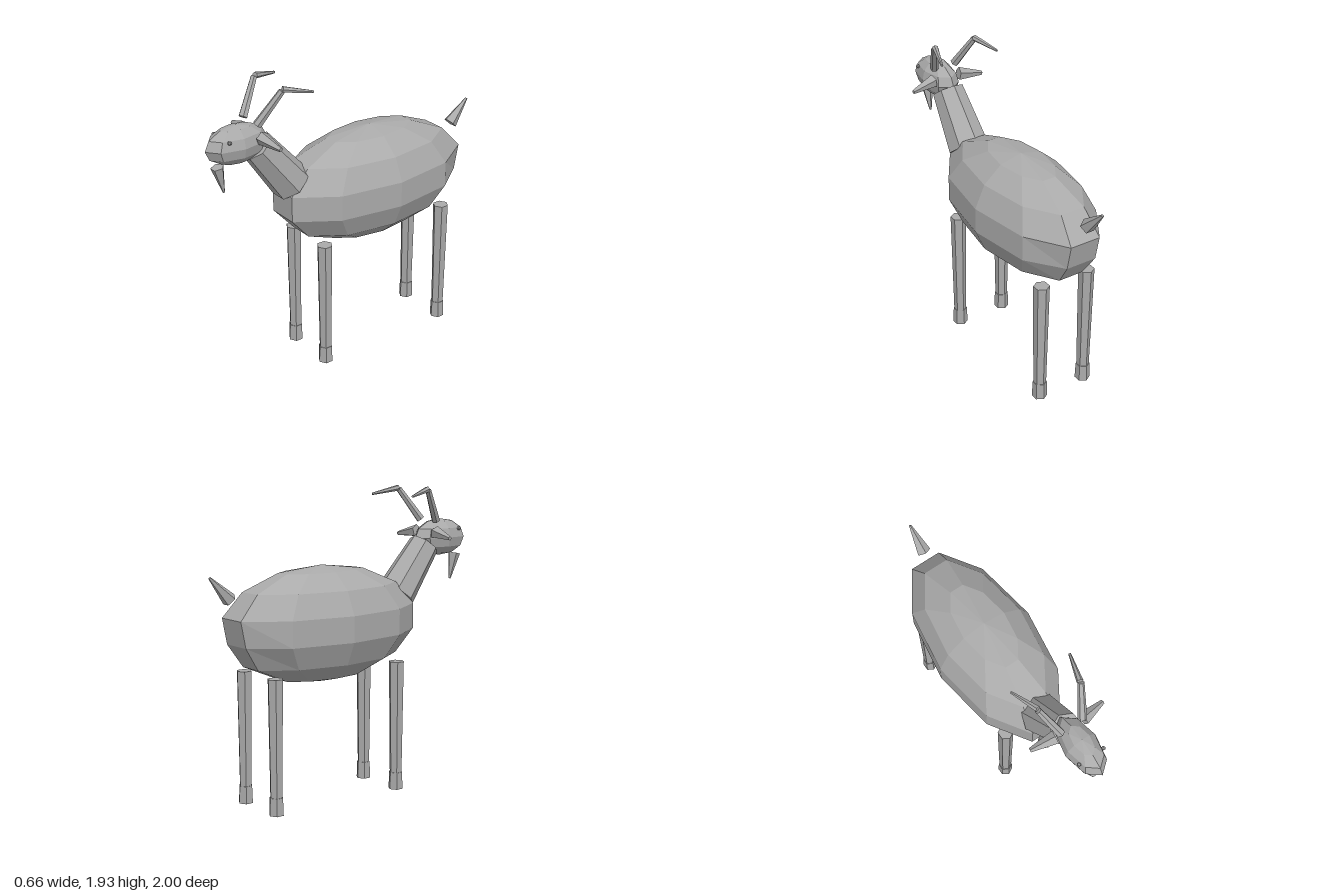
import * as THREE from 'three';

export function createModel() {
  const goat = new THREE.Group();
  goat.name = 'goat';
  const grey = new THREE.MeshStandardMaterial({ color: 0xaaaaaa, flatShading: true });
  grey.name = 'grey';

  const add = (name, geometry) => {
    const mesh = new THREE.Mesh(geometry, grey);
    mesh.name = name;
    goat.add(mesh);
    return mesh;
  };

  // Tapered prism running from point a (radius ra) to point b (radius rb)
  const up = new THREE.Vector3(0, 1, 0);
  const limb = (name, a, b, ra, rb, sides, turn = 0) => {
    const from = new THREE.Vector3(...a);
    const to = new THREE.Vector3(...b);
    const axis = to.clone().sub(from);
    const mesh = add(name, new THREE.CylinderGeometry(rb, ra, axis.length(), sides, 1, false, turn));
    mesh.position.copy(from).add(to).multiplyScalar(0.5);
    mesh.quaternion.setFromUnitVectors(up, axis.normalize());
    return mesh;
  };

  // Faceted ellipsoid
  const ellipsoid = (name, centre, radii, around, rows) => {
    const geometry = new THREE.SphereGeometry(1, around, rows);
    geometry.scale(...radii);
    const mesh = add(name, geometry);
    mesh.position.set(...centre);
    return mesh;
  };

  // Body, with the rump tucked in a little below its widest row
  const body = ellipsoid('body', [0, 1.105, -0.185], [0.338, 0.365, 0.715], 10, 7);
  const p = body.geometry.attributes.position;
  for (let i = 0; i < p.count; i++) {
    if (p.getY(i) < -0.05 && p.getY(i) > -0.1 && p.getZ(i) < -0.6) p.setZ(i, p.getZ(i) * 0.95);
  }

  // Neck and head
  limb('neck', [0, 1.24, 0.415], [0, 1.545, 0.655], 0.13, 0.102, 7, Math.PI);
  ellipsoid('head', [0, 1.59, 0.79], [0.107, 0.12, 0.21], 8, 6);
  limb('beard', [0, 1.475, 0.922], [0, 1.305, 0.886], 0.042, 0.007, 5);

  for (const [side, s] of [['left', 1], ['right', -1]]) {
    // Two-part horns, ears and eyes
    limb(side + 'HornBase', [s * 0.075, 1.705, 0.69], [s * 0.145, 1.905, 0.56], 0.028, 0.02, 6);
    limb(side + 'HornTip', [s * 0.142, 1.912, 0.555], [s * 0.2, 1.875, 0.38], 0.02, 0.008, 6);
    limb(side + 'Ear', [s * 0.095, 1.628, 0.675], [s * 0.255, 1.602, 0.65], 0.043, 0.014, 5);
    ellipsoid(side + 'Eye', [s * 0.085, 1.645, 0.885], [0.013, 0.013, 0.013], 6, 4);

    // Legs and hooves
    for (const [end, z] of [['Front', 0.285], ['Hind', -0.653]]) {
      const x = s * 0.166;
      limb(side + end + 'Leg', [x, 0.1, z], [x, 0.835, z], 0.04, 0.05, 6);
      limb(side + end + 'Hoof', [x, 0, z], [x, 0.11, z], 0.048, 0.044, 6);
    }
  }

  // Tail
  limb('tail', [0, 1.305, -0.857], [0, 1.445, -0.993], 0.046, 0.008, 5);

  return goat;
}
